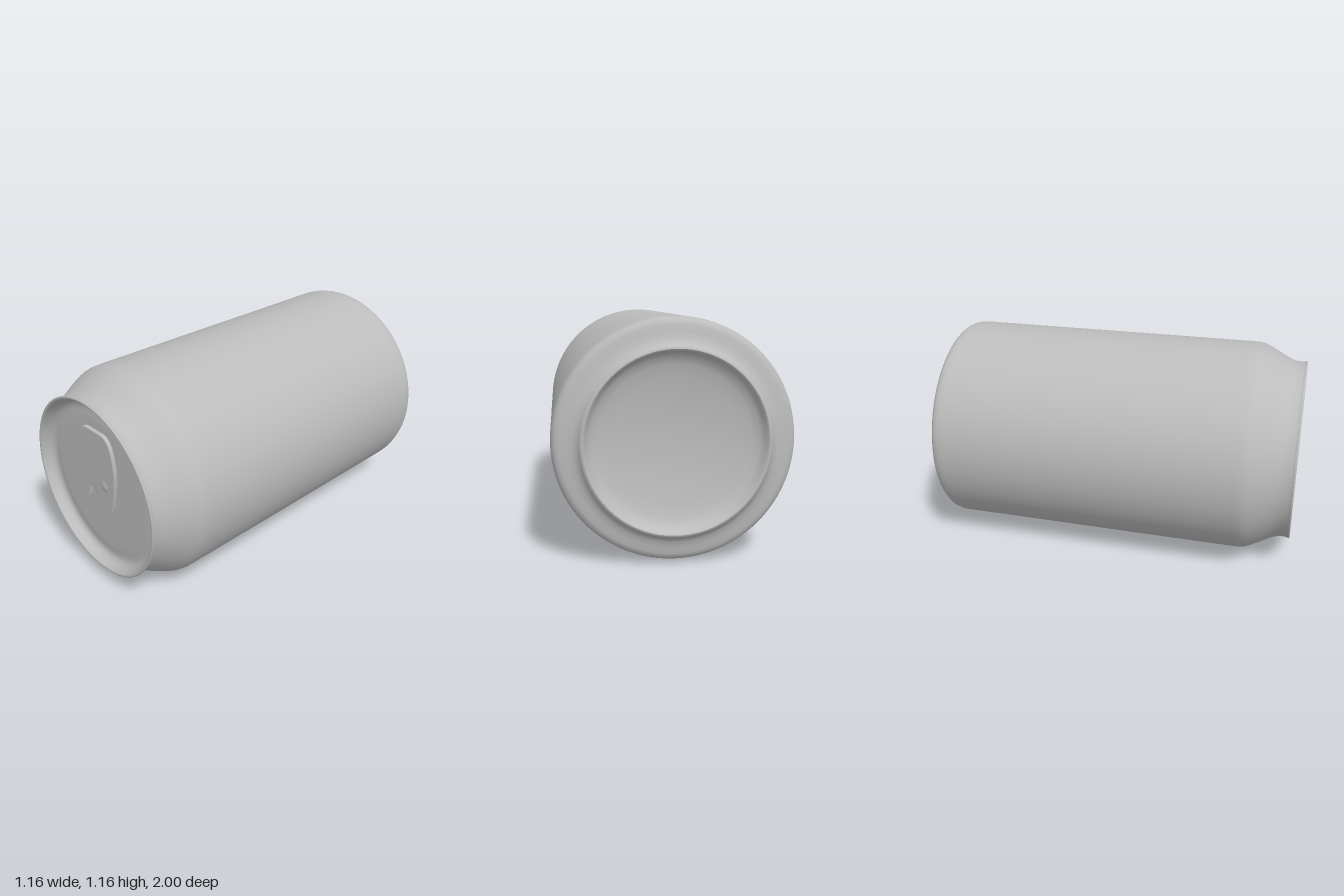
import * as THREE from 'three';

const SEGMENTS = 96;

export function createModel() {
  const aluminium = new THREE.MeshStandardMaterial({ color: 0xbcbcbc });
  aluminium.name = 'aluminium grey';

  const root = new THREE.Group();
  root.name = 'drinkCan';
  const can = new THREE.Group();
  can.name = 'can';
  can.position.set(0, 0.581, 0);
  can.rotation.set(0.006, -0.004, 0); // lies very slightly tilted
  root.add(can);

  const add = (name, geometry, parent = can) => {
    const mesh = new THREE.Mesh(geometry, aluminium);
    mesh.name = name;
    parent.add(mesh);
    return mesh;
  };
  // Profiles are [radius, z], running from the back to the front
  const turn = (name, profile) => {
    const points = profile.map(([r, z]) => new THREE.Vector2(r, z));
    return add(name, new THREE.LatheGeometry(points, SEGMENTS).rotateX(Math.PI / 2));
  };

  // Hollow dome in the base
  turn('baseDome', [
    [0, -0.895], [0.1, -0.898], [0.2, -0.907], [0.3, -0.923], [0.36, -0.937],
    [0.395, -0.952], [0.412, -0.972], [0.422, -0.993], [0.43, -0.998],
  ]);

  // Foot ring, rounded heel, straight wall, shoulder and neck
  turn('body', [
    [0.43, -0.998], [0.44, -0.996], [0.446, -0.985], [0.455, -0.97], [0.475, -0.957],
    [0.505, -0.949], [0.535, -0.945], [0.555, -0.937], [0.567, -0.922], [0.573, -0.9],
    [0.574, -0.87], [0.574, -0.4], [0.575, 0.2], [0.575, 0.7], [0.574, 0.74],
    [0.569, 0.765], [0.556, 0.795], [0.538, 0.83], [0.519, 0.865], [0.503, 0.895],
    [0.492, 0.92], [0.486, 0.945], [0.485, 0.97], [0.487, 0.985],
  ]);

  // Seamed rim
  turn('rim', [
    [0.487, 0.985], [0.49, 0.99], [0.49, 0.997], [0.486, 1], [0.48, 1], [0.475, 0.996],
  ]);

  // Recessed lid
  turn('lid', [
    [0.475, 0.996], [0.468, 0.98], [0.458, 0.96], [0.447, 0.945], [0.43, 0.937],
    [0.41, 0.936], [0.39, 0.939], [0.36, 0.941], [0.2, 0.941], [0, 0.941],
  ]);

  // Pull tab, drawn around the can's axis
  const tab = new THREE.Group();
  tab.name = 'pullTab';
  tab.position.z = 0.938;
  can.add(tab);

  const outline = new THREE.Shape();
  outline.moveTo(-0.1, -0.1);
  outline.quadraticCurveTo(-0.143, 0.06, -0.143, 0.14);
  outline.bezierCurveTo(-0.14, 0.25, -0.115, 0.312, -0.06, 0.312);
  outline.lineTo(0.06, 0.312);
  outline.bezierCurveTo(0.115, 0.312, 0.14, 0.25, 0.143, 0.14);
  outline.quadraticCurveTo(0.14, 0.04, 0.1, -0.1);
  outline.quadraticCurveTo(0.05, -0.06, 0, -0.052);
  outline.quadraticCurveTo(-0.04, -0.04, -0.072, -0.012);
  outline.quadraticCurveTo(-0.09, -0.03, -0.1, -0.1);

  // Finger hole
  const finger = new THREE.Path();
  finger.moveTo(-0.085, 0.088);
  finger.quadraticCurveTo(-0.113, 0.12, -0.113, 0.18);
  finger.quadraticCurveTo(-0.113, 0.298, -0.06, 0.298);
  finger.lineTo(0.06, 0.298);
  finger.quadraticCurveTo(0.113, 0.298, 0.113, 0.18);
  finger.quadraticCurveTo(0.113, 0.12, 0.085, 0.088);
  finger.closePath();

  // Slot around the rivet
  const slot = new THREE.Path();
  slot.moveTo(-0.07, 0.012);
  slot.lineTo(-0.068, 0.04);
  slot.quadraticCurveTo(-0.06, 0.052, 0, 0.052);
  slot.quadraticCurveTo(0.07, 0.052, 0.08, 0.035);
  slot.quadraticCurveTo(0.085, 0, 0.075, -0.045);
  slot.quadraticCurveTo(0, -0.03, -0.07, 0.012);

  outline.holes.push(finger, slot);
  add('tabPlate', new THREE.ExtrudeGeometry(outline, {
    depth: 0.014, curveSegments: 12, bevelEnabled: true,
    bevelThickness: 0.007, bevelSize: 0.007, bevelSegments: 3,
  }), tab);

  // Low rivet under the tab
  const rivet = add('rivet', new THREE.SphereGeometry(0.035, 24, 12), tab);
  rivet.scale.z = 0.3;
  rivet.position.set(0.035, 0.005, 0.003);

  return root;
}
